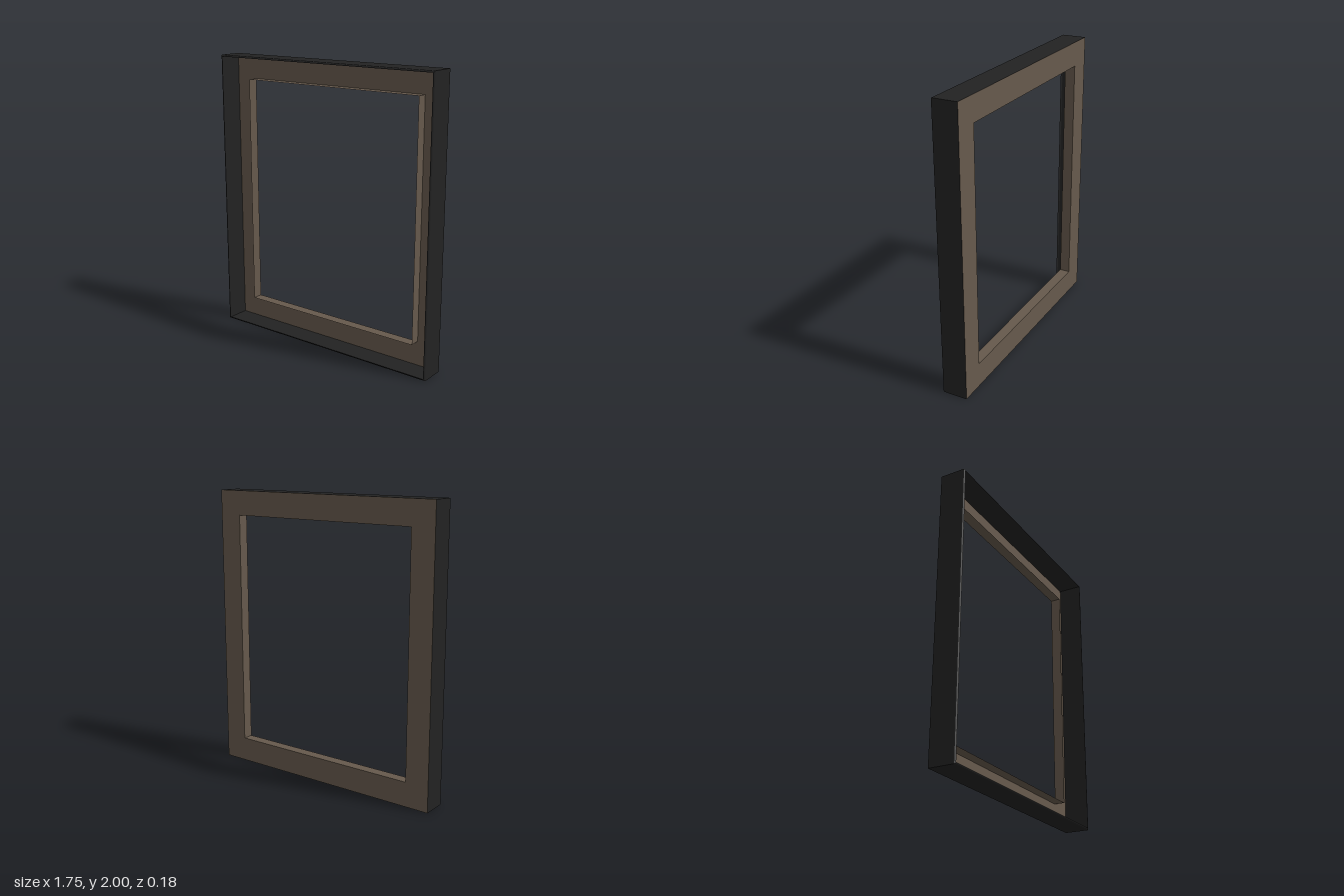
import * as THREE from 'three';

const W = 0.873, H = 1, BACK = -0.09, FRONT = 0.09; // half width, half height, depth range
const HOLE_W = 0.704, HOLE_H = 0.828;               // half size of the opening

// Four-sided skin through rectangular loops [halfWidth, halfHeight, z], ordered back to front
function rectSkin(loops) {
  const corners = [[-1, -1], [1, -1], [1, 1], [-1, 1]];
  const at = ([w, h, z], k) => [corners[k % 4][0] * w, corners[k % 4][1] * h, z];
  const pos = [];
  for (let i = 0; i < loops.length - 1; i++) {
    for (let k = 0; k < 4; k++) {
      const a = at(loops[i], k), b = at(loops[i], k + 1);
      const c = at(loops[i + 1], k + 1), d = at(loops[i + 1], k);
      pos.push(...a, ...b, ...c, ...a, ...c, ...d);
    }
  }
  const geo = new THREE.BufferGeometry();
  geo.setAttribute('position', new THREE.Float32BufferAttribute(pos, 3));
  geo.computeVertexNormals();
  return geo;
}

export function createModel() {
  const black = new THREE.MeshStandardMaterial({ color: 0x222222, side: THREE.DoubleSide });
  black.name = 'black';
  const brown = new THREE.MeshStandardMaterial({ color: 0x66594c, side: THREE.DoubleSide });
  brown.name = 'brown';

  const group = new THREE.Group();
  group.name = 'frame';
  const add = (name, geo, mat) => {
    const mesh = new THREE.Mesh(geo, mat);
    mesh.name = name;
    mesh.position.y = H;
    group.add(mesh);
  };

  // Thin outer shell, open at the front, its front edge rolled slightly inward
  const r = 0.012, steps = 3, shell = [[W, H, BACK]];
  for (let i = 0; i <= steps; i++) {
    const t = (i / steps) * Math.PI / 2, inset = r * (1 - Math.cos(t));
    shell.push([W - inset, H - inset, FRONT - r + r * Math.sin(t)]);
  }
  add('outerShell', rectSkin(shell), black);

  // Flat back panel with the rectangular opening
  const panel = new THREE.Shape([[-W, -H], [W, -H], [W, H], [-W, H]].map(p => new THREE.Vector2(...p)));
  panel.holes.push(new THREE.Path(
    [[-HOLE_W, -HOLE_H], [-HOLE_W, HOLE_H], [HOLE_W, HOLE_H], [HOLE_W, -HOLE_H]].map(p => new THREE.Vector2(...p))));
  add('backPanel', new THREE.ShapeGeometry(panel).translate(0, 0, BACK), brown);

  // Thin lip standing forward around the opening
  add('openingLip', rectSkin([[HOLE_W, HOLE_H, BACK], [HOLE_W, HOLE_H, BACK + 0.074]]), brown);

  return group;
}
